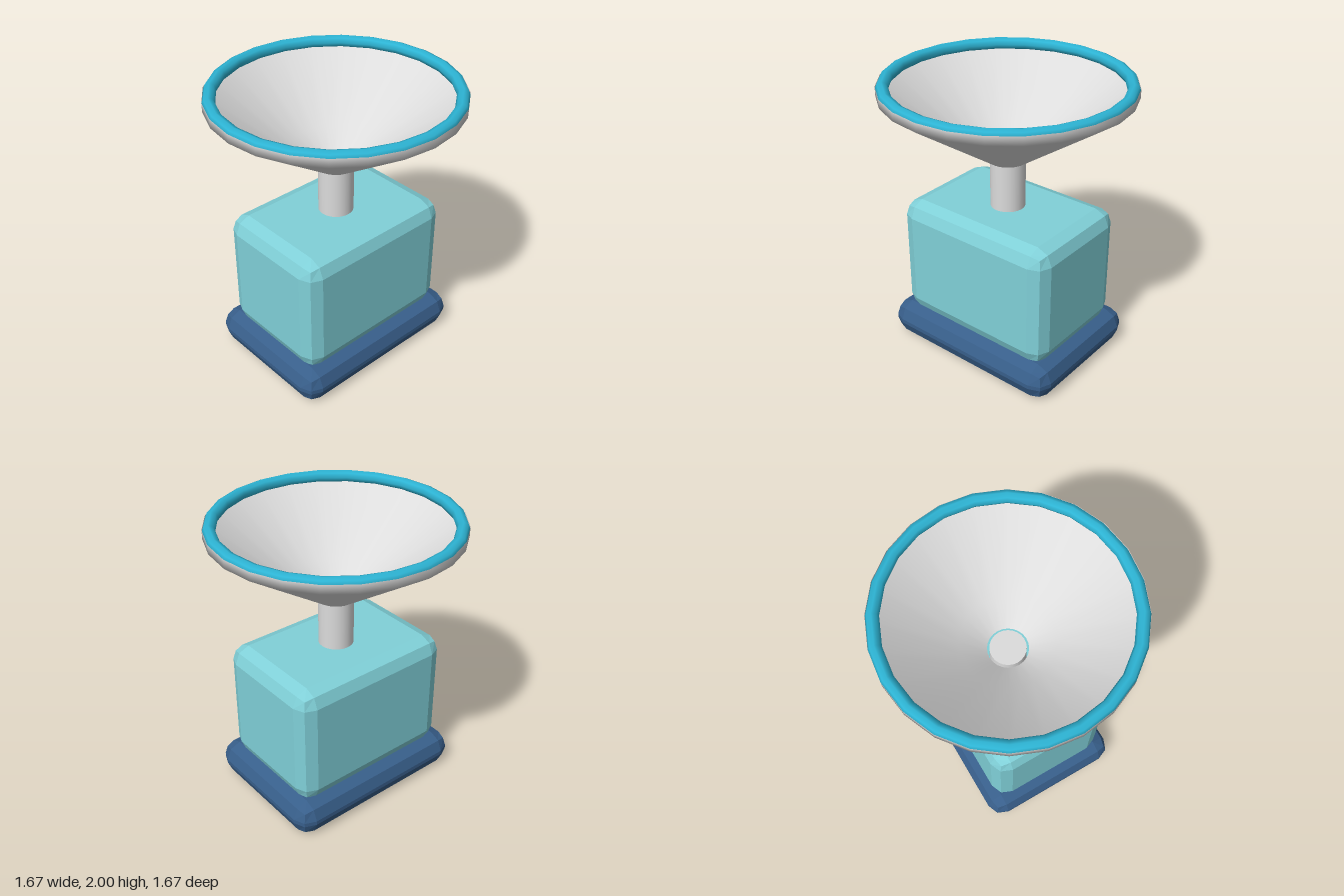
import * as THREE from 'three';
import { RoundedBoxGeometry } from 'three/addons/geometries/RoundedBoxGeometry.js';

function material(name, color, side = THREE.FrontSide) {
  const m = new THREE.MeshStandardMaterial({ color, side });
  m.name = name;
  return m;
}

// Box with two flat bevel bands along every edge, standing on y = bottom
function bevelledBox(width, height, depth, bevel, bottom) {
  let g = new RoundedBoxGeometry(width, height, depth, 1, bevel);
  if (g.index) g = g.toNonIndexed();
  g.computeVertexNormals();
  return g.translate(0, bottom + height / 2, 0);
}

export function createModel() {
  const model = new THREE.Group();
  model.name = 'scale';
  const SIDES = 24;

  const navy = material('navy', 0x385f8b);
  const aqua = material('aqua', 0x80d0d8);
  const blue = material('bright blue', 0x2db4d4);
  const grey = material('light grey', 0xdcdcdc);
  const greyShell = material('light grey shell', 0xdcdcdc, THREE.DoubleSide);

  const add = (name, geometry, mat) => {
    const mesh = new THREE.Mesh(geometry, mat);
    mesh.name = name;
    model.add(mesh);
  };

  // Foot and housing
  add('base', bevelledBox(1.38, 0.25, 1.02, 0.11, 0), navy);
  add('body', bevelledBox(1.22, 0.88, 0.86, 0.11, 0.21), aqua);

  // Post, ending just inside the open bottom of the bowl
  add('post', new THREE.CylinderGeometry(0.12, 0.12, 0.37, SIDES).translate(0, 1.255, 0), grey);

  // Open funnel with a short upright lip
  const profile = [[0.135, 1.43], [0.31, 1.55], [0.835, 1.91], [0.835, 1.97]]
    .map(([r, y]) => new THREE.Vector2(r, y));
  add('bowl', new THREE.LatheGeometry(profile, SIDES), greyShell);

  // Rim ring
  const rim = new THREE.TorusGeometry(0.793, 0.042, 8, SIDES);
  rim.rotateX(-Math.PI / 2).translate(0, 1.958, 0);
  add('rim', rim, blue);

  return model;
}
